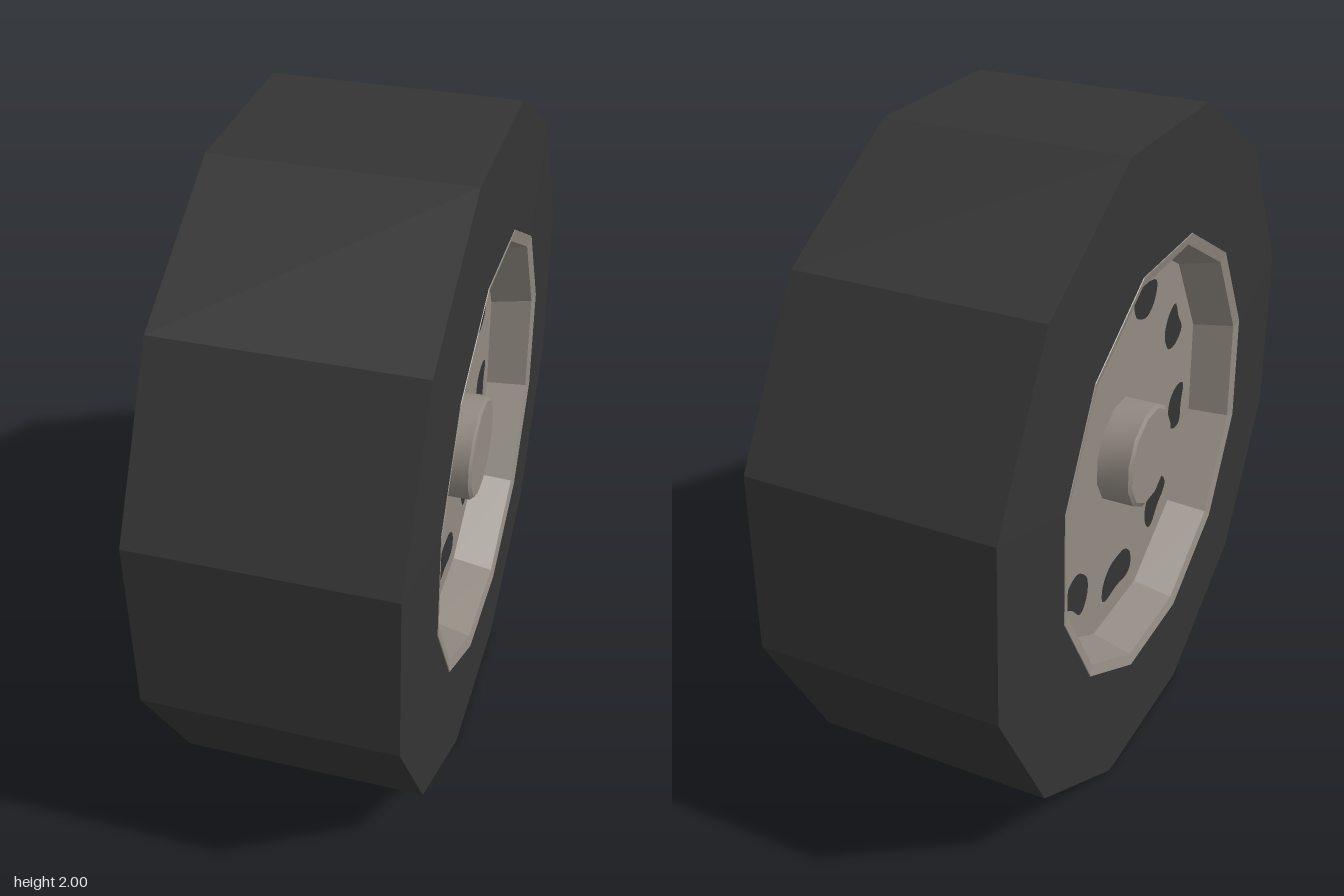
import * as THREE from 'three';
import { toCreasedNormals } from 'three/addons/utils/BufferGeometryUtils.js';

const SIDES = 12;

// Revolve [radius, x] pairs about the x axis; flat edges face up and sideways.
function turned(name, points, material, smooth = false) {
  const profile = points.map(([r, x]) => new THREE.Vector2(r, x));
  const lathe = new THREE.LatheGeometry(profile, SIDES, Math.PI / SIDES);
  lathe.rotateZ(-Math.PI / 2);
  let geometry;
  if (smooth) {
    geometry = toCreasedNormals(lathe, 0.6);
  } else {
    geometry = lathe.toNonIndexed();
    geometry.computeVertexNormals();
  }
  const mesh = new THREE.Mesh(geometry, material);
  mesh.name = name;
  return mesh;
}

// Rounded opening: flat towards the rim, narrowing towards the hub.
function ventGeometry(halfWidth, angle) {
  const outline = [[-0.95, 0.035], [-0.75, 0.055], [0, 0.05], [0.75, 0.055], [0.95, 0.035],
    [0.9, -0.015], [0.5, -0.055], [0, -0.062], [-0.5, -0.055], [-0.9, -0.015]];
  const curve = new THREE.CatmullRomCurve3(
    outline.map(([u, v]) => new THREE.Vector3(u * halfWidth, 0.452 + v, 0)), true);
  const points = curve.getPoints(30).slice(0, 30).map((p) => new THREE.Vector2(p.x, p.y));
  return new THREE.ShapeGeometry(new THREE.Shape(points)).rotateZ(angle).rotateY(Math.PI / 2);
}

export function createModel() {
  const rubber = new THREE.MeshStandardMaterial({ color: 0x343434 });
  rubber.name = 'dark rubber';
  const metal = new THREE.MeshStandardMaterial({ color: 0x918a81 });
  metal.name = 'warm grey metal';

  const wheel = new THREE.Group();
  wheel.name = 'wheel';

  // Tyre with slightly bulging side walls
  const tyre = turned('tyre', [[0.665, -0.372], [1.03, -0.36], [1.03, 0.36], [0.665, 0.372]], rubber);
  tyre.rotation.x = 0.017;
  wheel.add(tyre);

  // Identical rim on each side
  const ventWidths = [0.115, 0.09, 0.08, 0.075, 0.09];
  for (const side of [1, -1]) {
    const rim = new THREE.Group();
    rim.name = side > 0 ? 'leftRim' : 'rightRim';
    rim.add(
      turned('rimLip', [[0.672, 0.368], [0.668, 0.374], [0.635, 0.366]], metal),
      turned('rimWall', [[0.635, 0.366], [0.605, 0.24]], metal),
      turned('rimDisc', [[0.605, 0.24], [0, 0.24]], metal),
      turned('hub', [[0.16, 0.24], [0.16, 0.338], [0.148, 0.346], [0, 0.346]], metal, true),
    );
    // Nine dark vents, the widest at the bottom
    for (let k = -4; k <= 4; k++) {
      const angle = Math.PI + (k * Math.PI * 2) / 9;
      const vent = new THREE.Mesh(ventGeometry(ventWidths[Math.abs(k)], angle), rubber);
      vent.name = 'vent';
      vent.position.x = 0.244;
      rim.add(vent);
    }
    if (side < 0) rim.rotation.y = Math.PI;
    wheel.add(rim);
  }

  wheel.position.y = 1;
  const model = new THREE.Group();
  model.name = 'wheelModel';
  model.add(wheel);
  return model;
}
